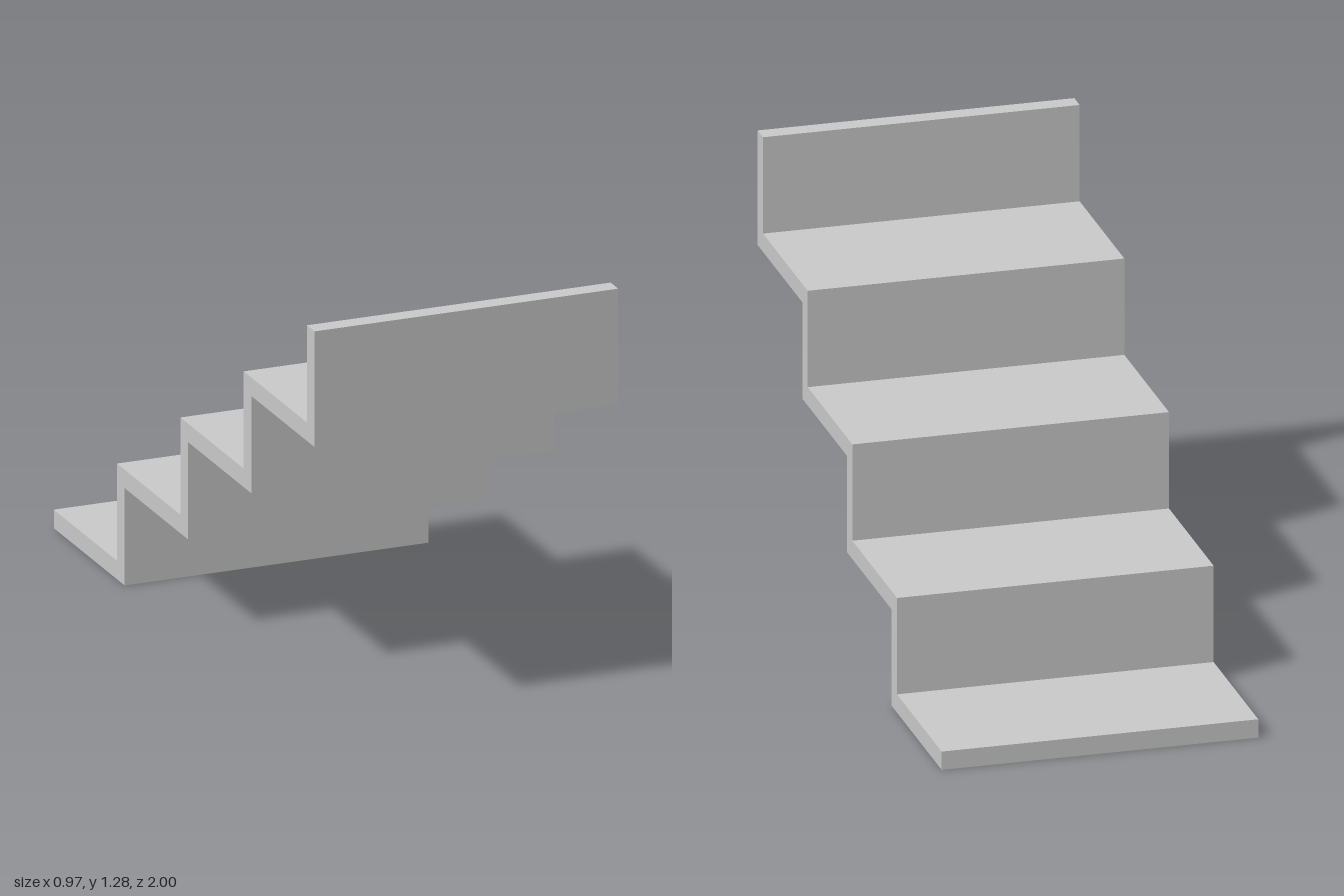
import * as THREE from 'three';

const STEPS = 4;
const T = 0.058;               // plate thickness
const RUN = (2 - T) / STEPS;   // tread depth
const RISE = 0.305;            // riser height
const WIDTH = 0.971;

export function createModel() {
  const group = new THREE.Group();
  group.name = 'staircase';

  // Folded plate profile, drawn in (z, y): up the top side, back down the underside
  const z = (i) => -1 + i * RUN;
  const y = (i) => i * RISE;
  const points = [[z(0), 0], [z(0), T]];
  for (let i = 0; i < STEPS; i++) {
    points.push([z(i + 1), y(i) + T], [z(i + 1), y(i + 1) + T]);
  }
  points.push([1, y(STEPS) + T]);
  for (let i = STEPS - 1; i >= 0; i--) {
    points.push([z(i + 1) + T, y(i)]);
    if (i > 0) points.push([z(i) + T, y(i)]);
  }

  // Extrude across the width and turn the profile's axis onto z
  const shape = new THREE.Shape(points.map(([a, b]) => new THREE.Vector2(a, b)));
  const geometry = new THREE.ExtrudeGeometry(shape, { depth: WIDTH, bevelEnabled: false });
  geometry.translate(0, 0, -WIDTH / 2);
  geometry.rotateY(-Math.PI / 2);

  const steps = new THREE.Mesh(
    geometry,
    new THREE.MeshStandardMaterial({ color: 0xcccccc, flatShading: true })
  );
  steps.name = 'treadsAndRisers';
  group.add(steps);
  return group;
}
